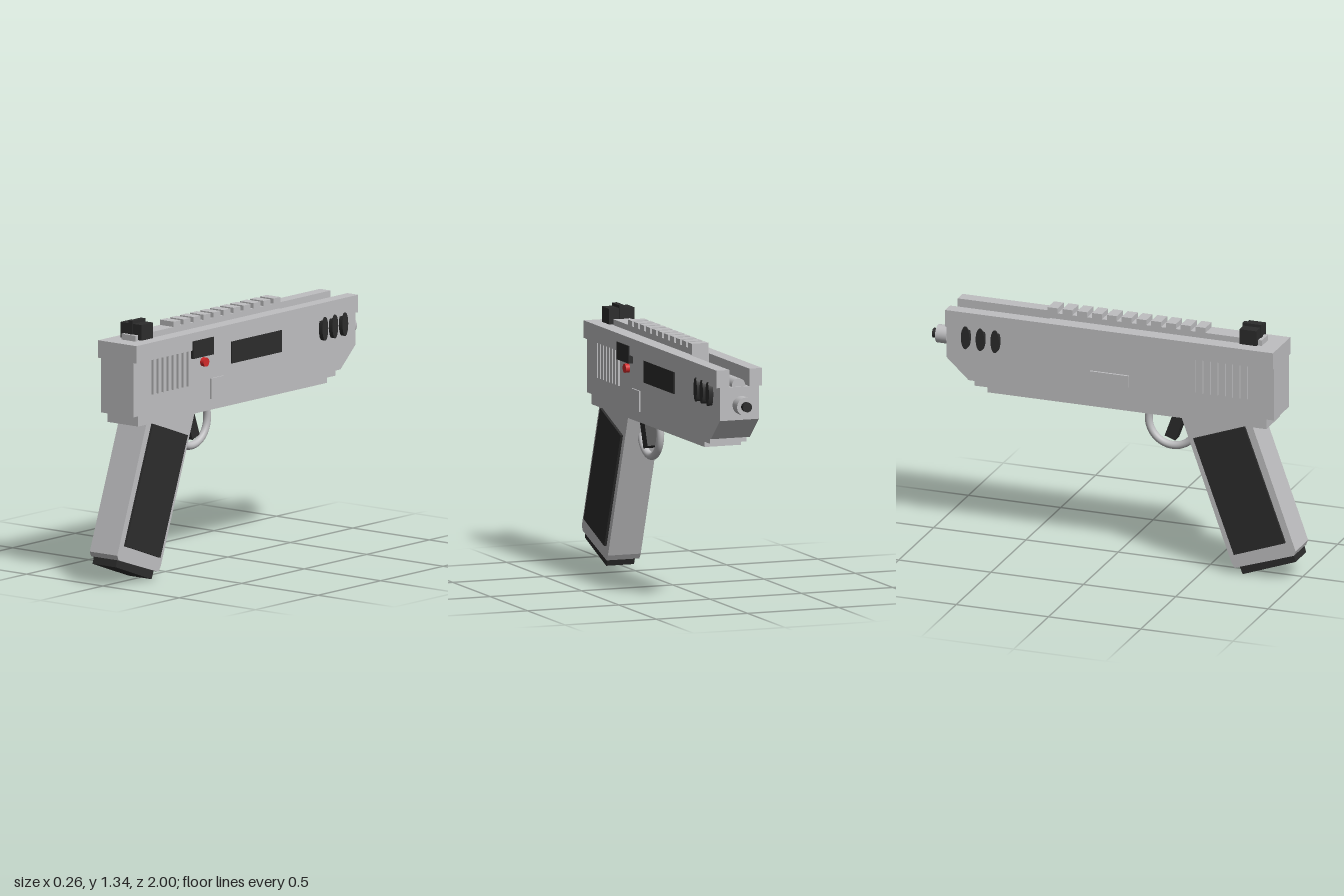
import * as THREE from 'three';

export function createModel() {
  const root = new THREE.Group();
  const mat = (name, color) => {
    const m = new THREE.MeshStandardMaterial({ color });
    m.name = name;
    return m;
  };
  const grey = mat('light grey', 0xbfbfc1);
  const black = mat('near black', 0x2c2c2c);
  const red = mat('red', 0xd42a2a);

  const add = (name, geometry, material) => {
    const mesh = new THREE.Mesh(geometry, material);
    mesh.name = name;
    root.add(mesh);
    return mesh;
  };
  // Box given by its limits on each axis
  const block = (name, material, [x0, x1], [y0, y1], [z0, z1]) => {
    const mesh = add(name, new THREE.BoxGeometry(x1 - x0, y1 - y0, z1 - z0), material);
    mesh.position.set((x0 + x1) / 2, (y0 + y1) / 2, (z0 + z1) / 2);
    return mesh;
  };
  // Side profile of [z, y] points, extruded from x0 to x1
  const profile = (name, material, points, x0, x1) => {
    const shape = new THREE.Shape(points.map(([z, y]) => new THREE.Vector2(z, y)));
    const g = new THREE.ExtrudeGeometry(shape, { depth: x1 - x0, bevelEnabled: false });
    g.rotateY(-Math.PI / 2).translate(x1, 0, 0);
    return add(name, g, material);
  };
  // Round bar along z
  const barZ = (name, material, r, y, z0, z1) => {
    const g = new THREE.CylinderGeometry(r, r, z1 - z0, 32).rotateX(Math.PI / 2);
    add(name, g, material).position.set(0, y, (z0 + z1) / 2);
  };
  // Disc facing sideways, stretched to an oval
  const disc = (name, material, rz, ry, x, y, z, thickness) => {
    const g = new THREE.CylinderGeometry(1, 1, thickness, 32).rotateZ(Math.PI / 2);
    g.scale(1, ry, rz);
    add(name, g, material).position.set(x, y, z);
  };

  // Main body with sloped nose
  profile('body', grey, [[0.885, 0.87], [0.885, 1.15], [-0.89, 1.15], [-0.89, 0.98], [-0.77, 0.87]], -0.107, 0.107);

  // Wider upper cover, open as a channel at the nose
  block('upperCover', grey, [-0.125, 0.125], [1.15, 1.24], [-0.35, 0.885]);
  for (const s of [-1, 1]) {
    const xs = s < 0 ? [-0.125, -0.055] : [0.055, 0.125];
    block('channelWall', grey, xs, [1.15, 1.24], [-0.89, -0.35]);
  }
  barZ('channelBarrel', grey, 0.037, 1.155, -0.88, -0.555);

  // Muzzle
  barZ('muzzle', grey, 0.037, 1.06, -0.92, -0.88);
  barZ('muzzleCollar', grey, 0.047, 1.06, -0.975, -0.915);
  barZ('muzzleTip', black, 0.025, 1.06, -1.0, -0.97);

  // Top rail with teeth
  block('railBase', grey, [-0.045, 0.045], [1.24, 1.27], [-0.365, 0.795]);
  for (let i = 0; i < 11; i++) {
    const z = 0.462 - i * 0.08;
    block('railTooth', grey, [-0.045, 0.045], [1.27, 1.297], [z - 0.027, z + 0.027]);
  }

  // Rear sight
  block('rearSight', black, [-0.07, 0.07], [1.245, 1.325], [0.683, 0.775]);
  block('rearSightPost', black, [-0.014, 0.014], [1.25, 1.34], [0.678, 0.78]);

  // Lower frame, stepped at the nose
  block('lowerFrame', grey, [-0.1, 0.1], [0.815, 0.87], [-0.67, 0.84]);
  block('frameStep', grey, [-0.1, 0.1], [0.842, 0.87], [-0.74, -0.67]);

  // Grip, its side panels and base
  profile('grip', grey, [[0.76, 0.82], [0.995, 0.17], [0.985, 0.145], [0.665, 0.038], [0.647, 0.065], [0.375, 0.82]], -0.09, 0.09);
  const panel = [[0.722, 0.812], [0.942, 0.212], [0.665, 0.112], [0.445, 0.712]];
  profile('gripPanel', black, panel, 0.085, 0.103);
  profile('gripPanel', black, panel, -0.103, -0.085);
  profile('gripBase', black, [[0.975, 0.16], [0.99, 0.108], [0.703, 0.004], [0.68, 0.06]], -0.076, 0.076);

  // Trigger and guard
  const guard = add('triggerGuard', new THREE.TorusGeometry(0.131, 0.02, 16, 64), grey);
  guard.rotation.y = Math.PI / 2;
  guard.position.set(0, 0.754, 0.297);
  const trigger = add('trigger', new THREE.BoxGeometry(0.06, 0.17, 0.06), black);
  trigger.rotation.x = 0.35;
  trigger.position.set(0, 0.75, 0.32);

  // Details on both sides: rear ridges and oval vents
  for (const s of [-1, 1]) {
    for (let i = 0; i < 8; i++) {
      const z = 0.732 - i * 0.04;
      const xs = s < 0 ? [-0.12, -0.1] : [0.1, 0.12];
      block('ridge', grey, xs, [0.968, 1.15], [z - 0.011, z + 0.011]);
    }
    for (const z of [-0.62, -0.7, -0.78]) disc('vent', black, 0.023, 0.061, s * 0.117, 1.105, z, 0.028);
  }

  // Details on the left side
  block('smallPanel', black, [0.1, 0.131], [1.107, 1.197], [0.27, 0.435]);
  block('sidePort', black, [0.1, 0.115], [1.033, 1.15], [-0.294, 0.107]);
  block('squareCatch', grey, [0.1, 0.115], [0.873, 0.98], [0.168, 0.272]);
  disc('button', red, 0.023, 0.023, 0.117, 1.075, 0.33, 0.026);

  // Lever on the right side
  block('lever', grey, [-0.119, -0.1], [0.947, 1.01], [-0.11, 0.1]);

  return root;
}
